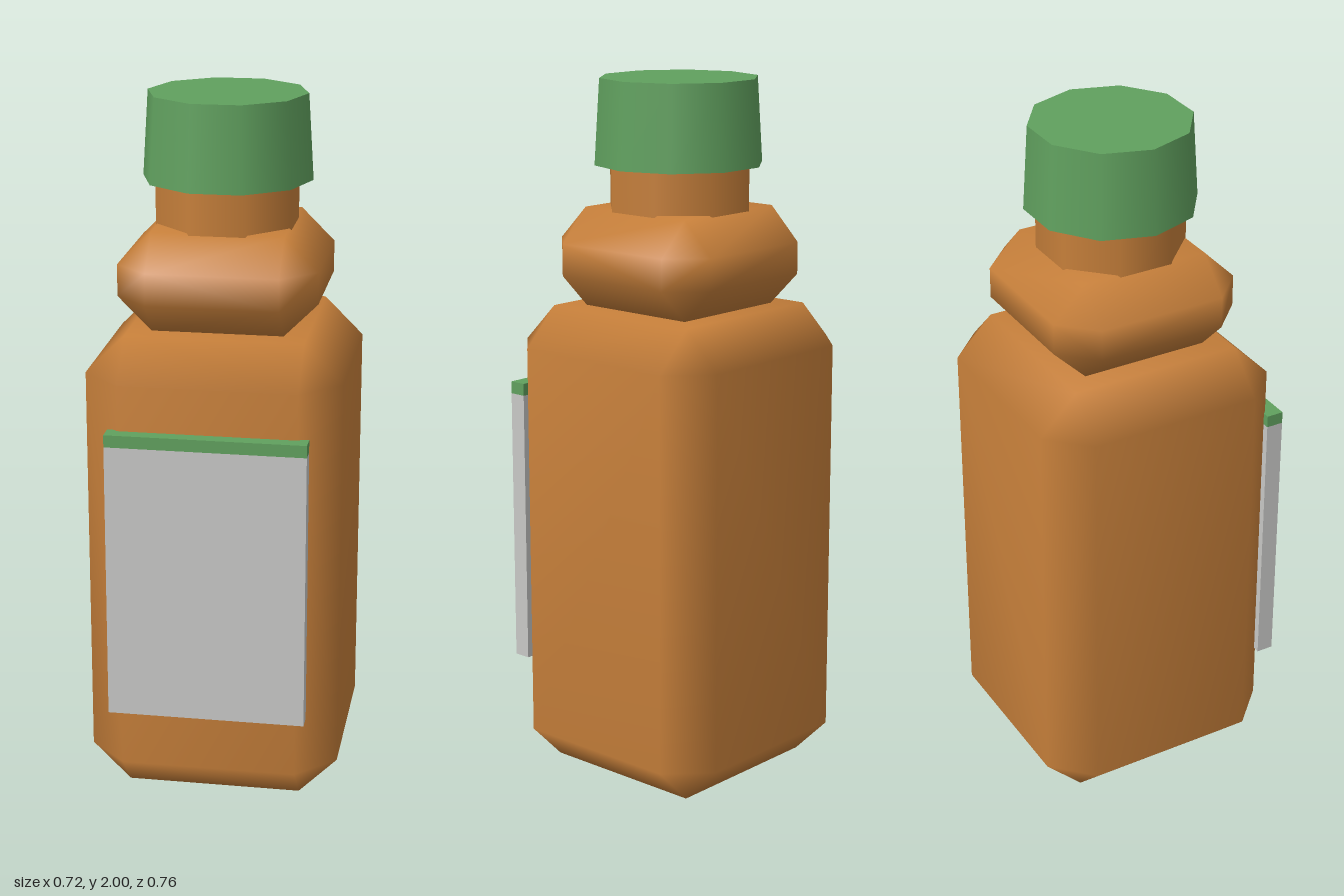
import * as THREE from 'three';
import { mergeVertices } from 'three/addons/utils/BufferGeometryUtils.js';
import { ConvexGeometry } from 'three/addons/geometries/ConvexGeometry.js';

const material = (name, color) => {
  const m = new THREE.MeshStandardMaterial({ color });
  m.name = name;
  return m;
};

// Box with one chamfer on every edge and smooth normals all over
function chamferedBox(w, h, d, c) {
  const points = [];
  for (const sx of [-1, 1]) for (const sy of [-1, 1]) for (const sz of [-1, 1]) {
    for (let axis = 0; axis < 3; axis++) {
      const inset = [0, 1, 2].map(i => (i === axis ? 0 : c));
      points.push(new THREE.Vector3(
        sx * (w / 2 - inset[0]), sy * (h / 2 - inset[1]), sz * (d / 2 - inset[2])));
    }
  }
  const hull = new ConvexGeometry(points);
  hull.deleteAttribute('normal');
  const geometry = mergeVertices(hull, 1e-4);
  geometry.computeVertexNormals();
  return geometry;
}

export function createModel() {
  const group = new THREE.Group();
  group.name = 'bottle';
  const amber = material('amber', 0xc67f3a);
  const green = material('green', 0x60a05e);
  const paper = material('paper', 0xc8c8c6);

  const add = (name, geometry, mat, y, z) => {
    const mesh = new THREE.Mesh(geometry, mat);
    mesh.name = name;
    mesh.position.set(0, y, z);
    group.add(mesh);
  };

  // Glass: square body, bulging collar and octagonal neck
  const axisZ = -0.02;
  add('body', chamferedBox(0.72, 1.36, 0.72, 0.11), amber, 0.68, axisZ);
  add('collar', chamferedBox(0.56, 0.28, 0.56, 0.095), amber, 1.5, axisZ);
  add('neck', new THREE.CylinderGeometry(0.206, 0.206, 0.16, 8).rotateY(Math.PI / 8), amber, 1.7, axisZ);

  // Tapered ten-sided cap
  add('cap', new THREE.CylinderGeometry(0.225, 0.24, 0.24, 10).rotateY(Math.PI / 10), green, 1.88, axisZ);

  // Label panel with a green strip along its top
  add('label', new THREE.BoxGeometry(0.56, 0.8, 0.05), paper, 0.685, 0.355);
  add('labelStrip', new THREE.BoxGeometry(0.56, 0.035, 0.05), green, 1.1025, 0.355);

  return group;
}
